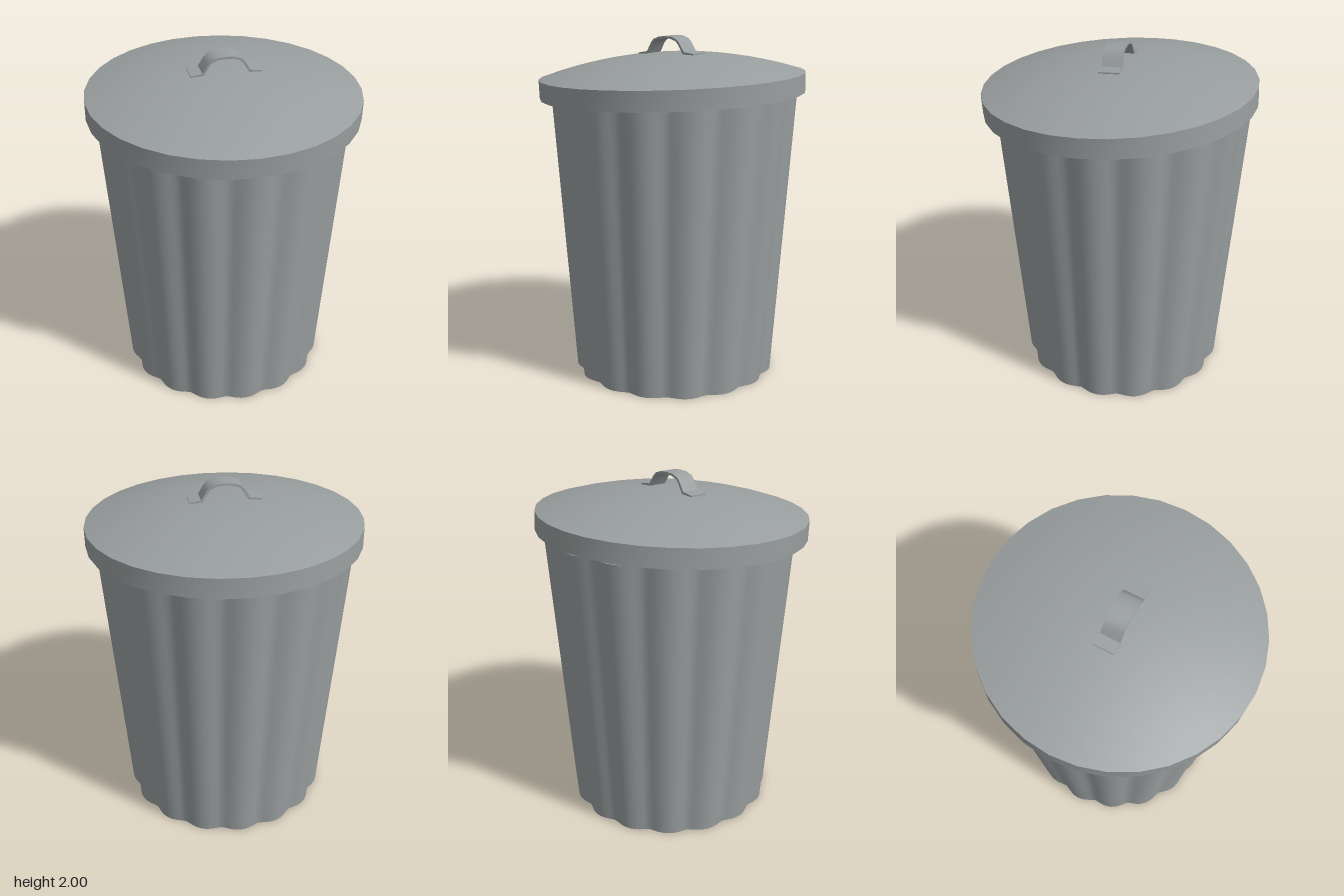
import * as THREE from 'three';
import { toCreasedNormals } from 'three/addons/utils/BufferGeometryUtils.js';

const CREASE = 0.8;

// Sweep a [radius, y] profile around the y axis; shape(r, angle) may modulate the radius.
function revolve(profile, segments, shape = (r) => r) {
  const pos = [], index = [], row = segments + 1;
  for (const [r, y] of profile) {
    for (let j = 0; j <= segments; j++) {
      const a = ((j % segments) / segments) * Math.PI * 2;
      const q = shape(r, a);
      pos.push(q * Math.sin(a), y, q * Math.cos(a));
    }
  }
  for (let i = 0; i < profile.length - 1; i++) {
    for (let j = 0; j < segments; j++) {
      const a = i * row + j, b = a + 1, c = b + row, d = a + row;
      if (profile[i][0] > 0) index.push(a, b, c);
      if (profile[i + 1][0] > 0) index.push(a, c, d);
      else if (profile[i][0] > 0) continue;
    }
  }
  const g = new THREE.BufferGeometry();
  g.setAttribute('position', new THREE.Float32BufferAttribute(pos, 3));
  g.setIndex(index);
  return toCreasedNormals(g, CREASE);
}

// Sixteen rounded flutes with narrow valleys between them
function flute(r, a) {
  if (r < 0.57) return r;
  const c = Math.cos(8 * a);
  const wave = (Math.sqrt(c * c + 0.04) - 0.2) / (Math.sqrt(1.04) - 0.2);
  return r - 0.028 * (1 - wave);
}

// Dome profile points from centre to edge
function dome(radius, edgeY, rise, steps = 8) {
  const pts = [];
  for (let i = 0; i <= steps; i++) {
    const t = i / steps;
    pts.push([radius * t, edgeY + rise * (1 - t * t)]);
  }
  return pts;
}

export function createModel() {
  const model = new THREE.Group();
  model.name = 'dustbin';
  const metal = new THREE.MeshStandardMaterial({ color: 0x999e9e });
  metal.name = 'galvanised grey';

  const add = (parent, name, geometry) => {
    const mesh = new THREE.Mesh(geometry, metal);
    mesh.name = name;
    parent.add(mesh);
    return mesh;
  };

  // Tapered fluted body: recessed base, outer wall, top edge, inner wall, floor
  const body = add(model, 'body', revolve([
    [0, 0.04], [0.54, 0.04], [0.54, 0], [0.605, 0],
    [0.722, 1.69], [0.706, 1.69], [0.592, 0.06], [0, 0.06],
  ], 128, flute));
  body.position.z = -0.018;

  // Lid sits askew, lower at the front
  const lid = new THREE.Group();
  lid.name = 'lid';
  lid.position.y = 1.67;
  lid.rotation.x = 0.052;
  model.add(lid);

  // Hollow domed cover with a vertical rim
  add(lid, 'cover', revolve([
    ...dome(0.757, 0.095, 0.125),
    [0.757, 0], [0.775, 0],
    ...dome(0.775, 0.11, 0.125).reverse(),
  ], 32));

  // Bent strap handle: half outline (outer and inner edges) mirrored across x
  const outer = [[0.2, 0.234], [0.135, 0.243], [0.105, 0.292], [0.085, 0.314], [0.045, 0.328], [0, 0.331]];
  const inner = [[0.2, 0.222], [0.127, 0.231], [0.094, 0.285], [0.077, 0.303], [0.042, 0.316], [0, 0.319]];
  const mirrored = (pts) => [...pts, ...pts.slice(0, -1).reverse().map(([x, y]) => [-x, y])];
  const outline = [...mirrored(outer), ...mirrored(inner).reverse()];
  const strap = new THREE.ExtrudeGeometry(
    new THREE.Shape(outline.map(([x, y]) => new THREE.Vector2(x, y))),
    { depth: 0.115, bevelEnabled: false },
  );
  strap.translate(0, 0, -0.0575);
  add(lid, 'handle', toCreasedNormals(strap, CREASE));

  return model;
}
